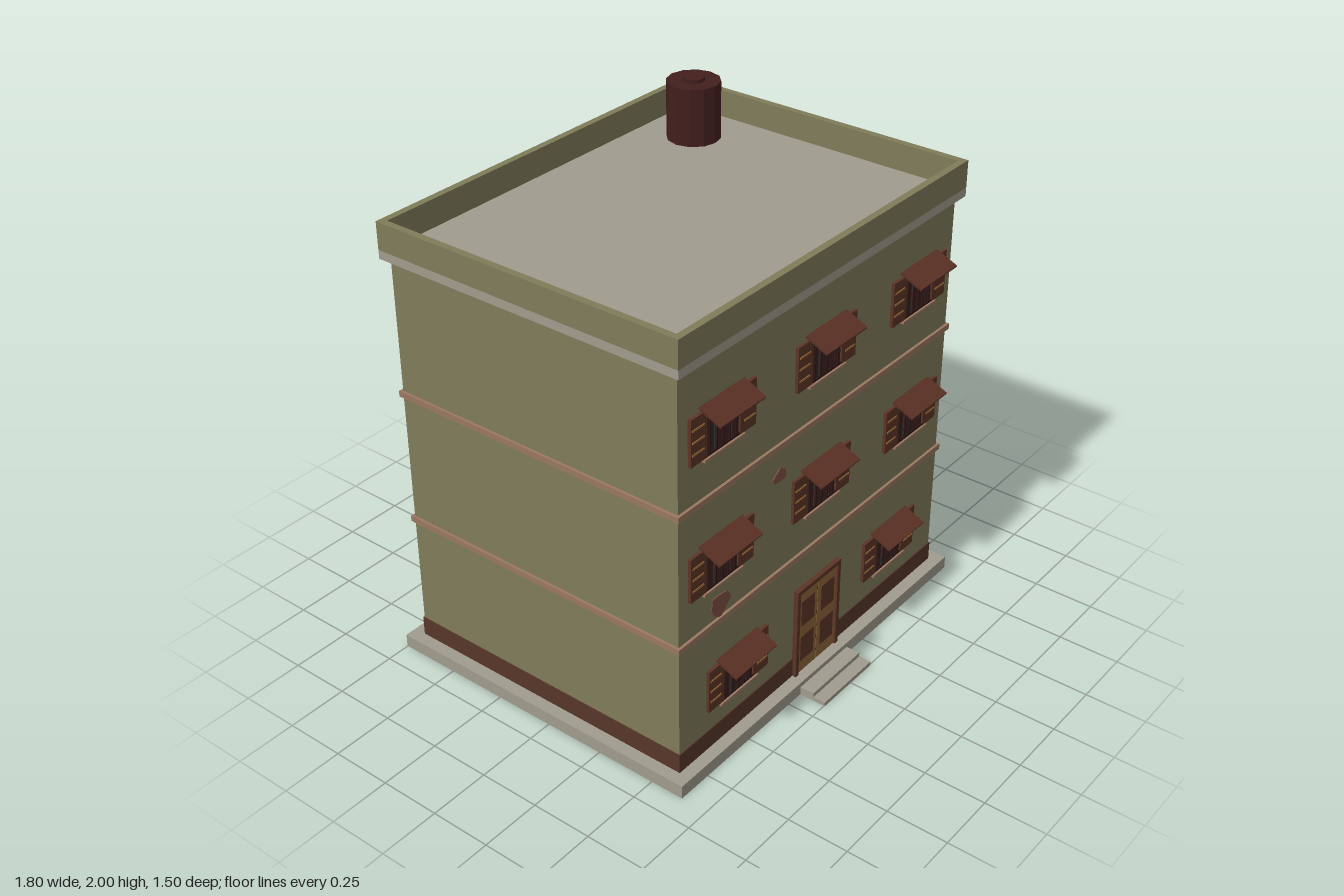
import * as THREE from 'three';

const CX = -0.02, CZ = -0.056;          // centre of the building's plan
const W = 1.65, D = 1.282;              // wall width and depth
const FRONT = CZ + D / 2, RIGHT = CX + W / 2;

const material = (color) => new THREE.MeshStandardMaterial({ color, flatShading: true });
const mats = {
  wall: material(0x807c5a), stone: material(0xa09b8d), skirting: material(0x57362a),
  trim: material(0x9a7860), shutter: material(0x5c3426), dark: material(0x3f2220),
  bar: material(0x2a1815), glass: material(0x35504a), louvre: material(0x9a6a38),
  awning: material(0x5a3024), door: material(0x8c6438), tank: material(0x421f1d),
  patch: material(0x7d5142),
};

function add(parent, name, geometry, mat, x = 0, y = 0, z = 0) {
  const mesh = new THREE.Mesh(geometry, mat);
  mesh.name = name;
  mesh.position.set(x, y, z);
  parent.add(mesh);
  return mesh;
}

function box(parent, name, mat, w, h, d, x, y, z) {
  return add(parent, name, new THREE.BoxGeometry(w, h, d), mat, x, y, z);
}

// Box around the plan, "out" beyond the walls, from y0 to y1
function storeyBox(parent, name, mat, out, y0, y1) {
  return box(parent, name, mat, W + 2 * out, y1 - y0, D + 2 * out, CX, (y0 + y1) / 2, CZ);
}

// Window facing +z, origin on the wall at the bottom centre of the shutters
function makeWindow() {
  const g = new THREE.Group();
  g.name = 'window';
  const h = 0.183;
  box(g, 'windowGlass', mats.glass, 0.18, h, 0.006, 0, h / 2, 0.002);
  for (let i = 0; i < 4; i++) {
    box(g, 'windowPanel', mats.dark, 0.036, h, 0.008, (i - 1.5) * 0.045, h / 2, 0.004);
  }
  for (let i = 0; i < 5; i++) {
    box(g, 'windowBar', mats.bar, 0.006, h, 0.006, (i - 2) * 0.036, h / 2, 0.009);
  }
  for (const y of [0.004, h - 0.004]) box(g, 'windowRail', mats.bar, 0.18, 0.008, 0.012, 0, y, 0.006);
  for (const s of [-1, 1]) {
    box(g, 'shutter', mats.shutter, 0.088, h, 0.013, s * 0.133, h / 2, 0.0065);
    for (let i = 0; i < 3; i++) {
      box(g, 'shutterLouvre', mats.louvre, 0.062, 0.007, 0.004, s * 0.139, 0.045 + i * 0.047, 0.014);
    }
  }
  box(g, 'sill', mats.trim, 0.22, 0.011, 0.02, 0, -0.006, 0.01);
  const awning = box(g, 'awning', mats.awning, 0.243, 0.009, 0.1, 0, 0.18, 0.046);
  awning.rotation.x = 0.42;
  return g;
}

// Irregular flat patch of worn plaster, facing +z
function makePatch(rx, ry, seed) {
  const points = [];
  for (let i = 0; i < 8; i++) {
    const a = (i / 8) * Math.PI * 2, r = 0.88 + 0.16 * Math.sin(seed + i * 2.3);
    points.push(new THREE.Vector2(Math.cos(a) * r * rx, Math.sin(a) * r * ry));
  }
  return new THREE.ExtrudeGeometry(new THREE.Shape(points), { depth: 0.004, bevelEnabled: false });
}

function rectangle(target, w, d) {
  target.moveTo(-w / 2, -d / 2);
  target.lineTo(w / 2, -d / 2);
  target.lineTo(w / 2, d / 2);
  target.lineTo(-w / 2, d / 2);
  target.closePath();
  return target;
}

export function createModel() {
  const model = new THREE.Group();
  model.name = 'apartmentBuilding';

  // Base, walls and horizontal bands
  storeyBox(model, 'plinth', mats.stone, 0.055, 0, 0.055);
  storeyBox(model, 'walls', mats.wall, 0, 0.055, 1.715);
  storeyBox(model, 'skirting', mats.skirting, 0.004, 0.055, 0.137);
  for (const y of [0.61, 1.163]) storeyBox(model, 'floorBand', mats.trim, 0.011, y - 0.012, y + 0.012);

  // Roof slab and parapet
  storeyBox(model, 'roofSlab', mats.stone, 0.028, 1.715, 1.75);
  const ring = rectangle(new THREE.Shape(), W + 0.056, D + 0.056);
  ring.holes.push(rectangle(new THREE.Path(), W, D));
  const parapet = new THREE.ExtrudeGeometry(ring, { depth: 0.11, bevelEnabled: false });
  parapet.rotateX(-Math.PI / 2);
  add(model, 'parapet', parapet, mats.wall, CX, 1.75, CZ);

  // Water tank
  add(model, 'waterTank', new THREE.CylinderGeometry(0.108, 0.108, 0.235, 12), mats.tank, 0.578, 1.8675, -0.475);
  add(model, 'tankLid', new THREE.CylinderGeometry(0.045, 0.045, 0.015, 12), mats.tank, 0.578, 1.9925, -0.475);

  // Windows on three floors, front and right-hand wall
  [0.232, 0.785, 1.337].forEach((y, floor) => {
    for (const x of floor === 0 ? [-0.493, 0.493] : [-0.595, 0, 0.595]) {
      const w = makeWindow();
      w.position.set(CX + x, y, FRONT);
      model.add(w);
    }
    for (const z of [-0.41, 0.41]) {
      const w = makeWindow();
      w.position.set(RIGHT, y, CZ + z);
      w.rotation.y = Math.PI / 2;
      model.add(w);
    }
  });

  // Double door
  const door = new THREE.Group();
  door.name = 'frontDoor';
  door.position.set(CX, 0.055, FRONT);
  model.add(door);
  for (const s of [-1, 1]) {
    box(door, 'doorJamb', mats.shutter, 0.018, 0.4, 0.02, s * 0.131, 0.2, 0.01);
    box(door, 'doorLeaf', mats.door, 0.119, 0.382, 0.012, s * 0.0615, 0.191, 0.006);
    for (const y of [0.112, 0.278]) {
      box(door, 'doorPanel', mats.shutter, 0.085, 0.115, 0.004, s * 0.064, y, 0.013);
    }
  }
  box(door, 'doorLintel', mats.shutter, 0.28, 0.018, 0.02, 0, 0.391, 0.01);
  box(door, 'doorGap', mats.dark, 0.006, 0.382, 0.01, 0, 0.191, 0.005);

  // Entrance steps
  const plinthFront = FRONT + 0.05;
  [[0.035, 0.7], [0.017, 0.753]].forEach(([h, z]) => {
    box(model, 'step', mats.stone, 0.31, h, z - plinthFront, CX, h / 2, (z + plinthFront) / 2);
  });

  // Worn plaster patches: on the front by x, on the right-hand wall by z
  for (const [x, y, rx, ry] of [[-0.275, 1.035, 0.045, 0.032], [-0.615, 0.675, 0.062, 0.056]]) {
    add(model, 'plasterPatch', makePatch(rx, ry, x * 9), mats.patch, x, y, FRONT);
  }
  for (const [z, y, rx, ry] of [[0, 1.41, 0.046, 0.033], [-0.165, 1.015, 0.034, 0.028]]) {
    add(model, 'plasterPatch', makePatch(rx, ry, y * 5), mats.patch, RIGHT, y, z).rotation.y = Math.PI / 2;
  }
  return model;
}
